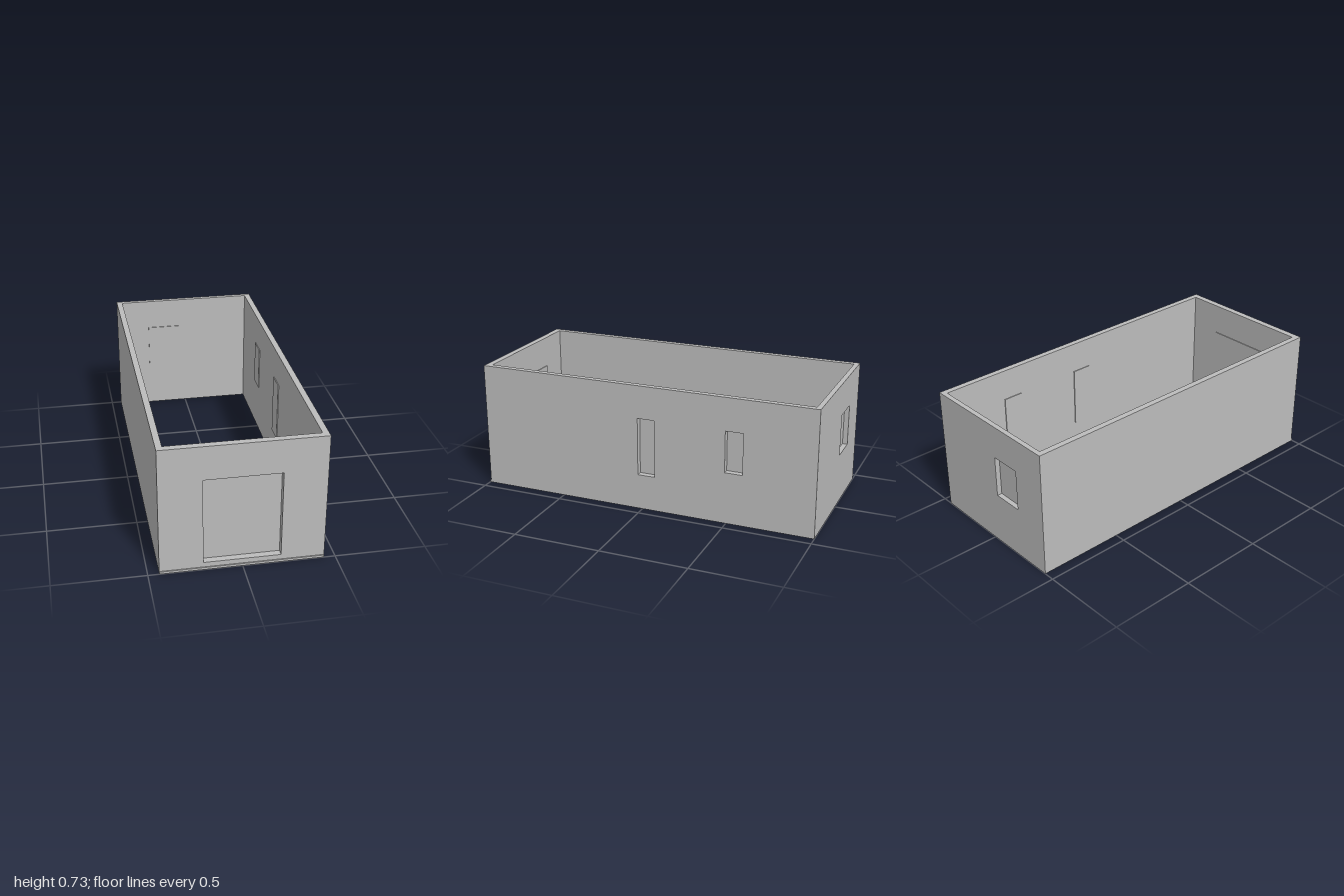
import * as THREE from 'three';

const HEIGHT = 0.73, HALF_W = 0.44, SIDE_T = 0.034;
const BACK = -1, BACK_IN = -0.972, FRONT_IN = 0.956, FRONT = 0.994;
const PANEL_T = 0.005, LIP = 0.01;

const grey = new THREE.MeshStandardMaterial({ color: 0xbcbcbc });
grey.name = 'plainGrey';

// Upright wall from u0 to u1, extruded along +z, with openings [u0, u1, y0, y1]
function wall(name, u0, u1, thickness, openings = []) {
  const shape = new THREE.Shape([[u0, 0], [u1, 0], [u1, HEIGHT], [u0, HEIGHT]]
    .map(([x, y]) => new THREE.Vector2(x, y)));
  for (const [a, b, c, d] of openings) {
    shape.holes.push(new THREE.Path([[a, c], [a, d], [b, d], [b, c]]
      .map(([x, y]) => new THREE.Vector2(x, y))));
  }
  const mesh = new THREE.Mesh(
    new THREE.ExtrudeGeometry(shape, { depth: thickness, bevelEnabled: false }), grey);
  mesh.name = name;
  return mesh;
}

// Thin panel closing an opening on the indoor side, slightly larger than the hole
function panel(name, [a, b, c, d], z) {
  const mesh = new THREE.Mesh(
    new THREE.BoxGeometry(b - a + 2 * LIP, d - c + 2 * LIP, PANEL_T), grey);
  mesh.position.set((a + b) / 2, (c + d) / 2, z);
  mesh.name = name;
  return mesh;
}

export function createModel() {
  const room = new THREE.Group();
  room.name = 'openRoom';

  // Front wall with the wide door
  const door = [-0.208, 0.206, 0.041, 0.538];
  const front = new THREE.Group();
  front.name = 'frontSide';
  front.position.z = FRONT_IN;
  front.add(wall('frontWall', -HALF_W, HALF_W, FRONT - FRONT_IN, [door]),
    panel('doorPanel', door, -PANEL_T / 2));

  // Back wall with one window
  const backWindow = [-0.228, -0.048, 0.3, 0.538];
  const back = new THREE.Group();
  back.name = 'backSide';
  back.position.z = BACK;
  back.add(wall('backWall', -HALF_W, HALF_W, BACK_IN - BACK, [backWindow]),
    panel('backWindowPanel', backWindow, BACK_IN - BACK + PANEL_T / 2));

  // Long wall at +x with a tall and a short window (local x runs along -z)
  const windows = [[-0.026, 0.075, 0.205, 0.54], [0.488, 0.589, 0.3, 0.54]];
  const windowSide = new THREE.Group();
  windowSide.name = 'windowSide';
  windowSide.rotation.y = Math.PI / 2;
  windowSide.position.x = HALF_W - SIDE_T;
  windowSide.add(wall('windowWall', -FRONT_IN, -BACK_IN, SIDE_T, windows));
  windows.forEach((w, i) =>
    windowSide.add(panel(['tallWindowPanel', 'shortWindowPanel'][i], w, -PANEL_T / 2)));

  // Plain long wall at -x
  const plain = wall('plainWall', -FRONT_IN, -BACK_IN, SIDE_T);
  plain.rotation.y = Math.PI / 2;
  plain.position.x = -HALF_W;

  // Low strip along the foot of the front wall
  const strip = new THREE.Mesh(
    new THREE.BoxGeometry(2 * HALF_W, 0.013, 1 - FRONT), grey);
  strip.position.set(0, 0.0065, (1 + FRONT) / 2);
  strip.name = 'frontFootStrip';

  room.add(front, back, windowSide, plain, strip);
  return room;
}
